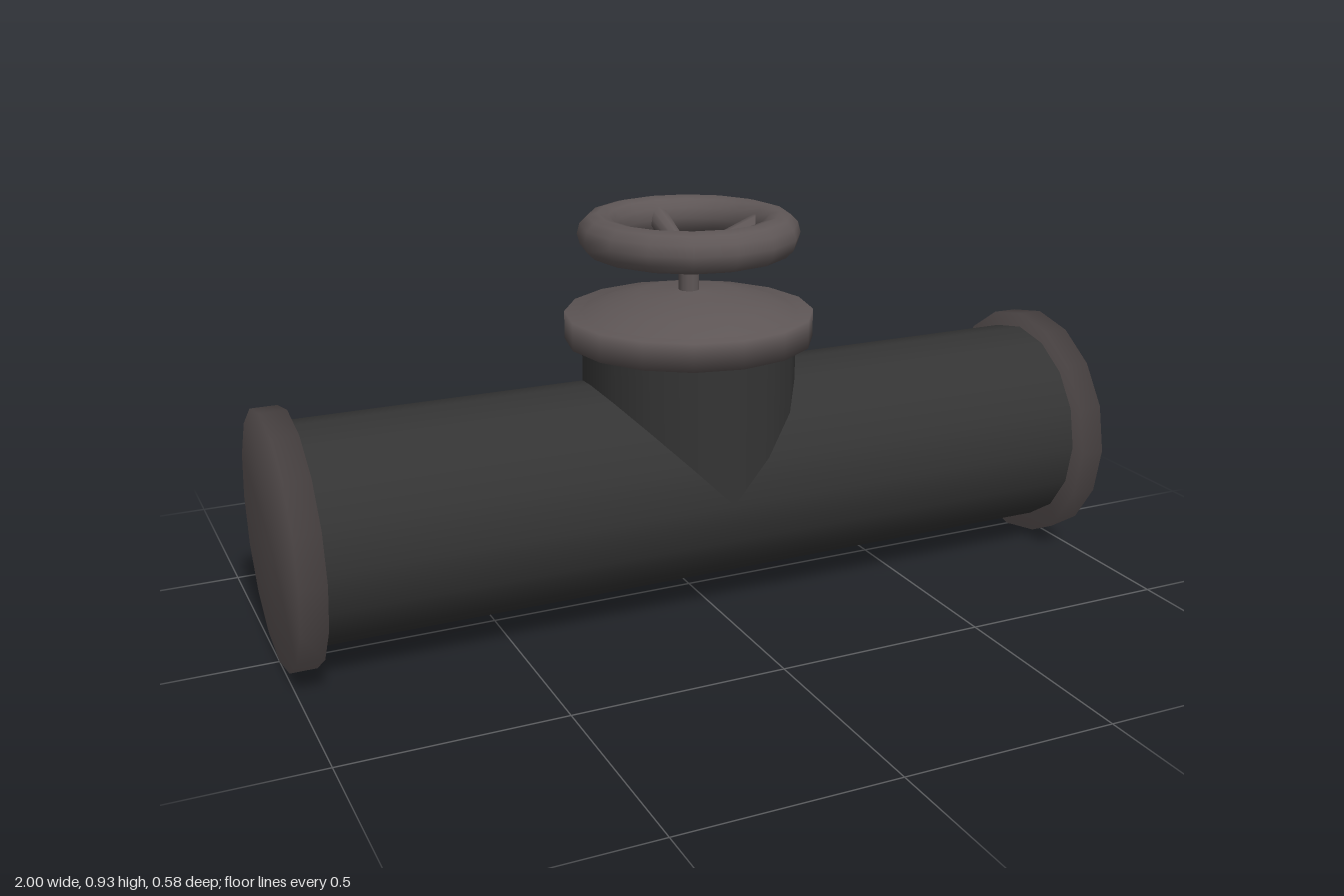
import * as THREE from 'three';
import { mergeVertices } from 'three/addons/utils/BufferGeometryUtils.js';

const SIDES = 16;
const AXIS_Y = 0.29;

// Shares corner vertices so shading rolls softly over the edges
function softened(geometry) {
  geometry.deleteAttribute('normal');
  geometry.deleteAttribute('uv');
  const merged = mergeVertices(geometry, 1e-4);
  merged.computeVertexNormals();
  return merged;
}

export function createModel() {
  const group = new THREE.Group();
  const pipeMaterial = new THREE.MeshStandardMaterial({ color: 0x343434 });
  pipeMaterial.name = 'dark pipe';
  const ironMaterial = new THREE.MeshStandardMaterial({ color: 0x5e5656 });
  ironMaterial.name = 'warm grey iron';

  function add(name, geometry, material, x = 0, y = 0, z = 0) {
    const mesh = new THREE.Mesh(geometry, material);
    mesh.name = name;
    mesh.position.set(x, y, z);
    group.add(mesh);
    return mesh;
  }

  // Main pipe along x and the riser that branches upward
  add('mainPipe', new THREE.CylinderGeometry(0.25, 0.25, 1.9, SIDES, 1, true).rotateZ(Math.PI / 2),
    pipeMaterial, 0, AXIS_Y + 0.005);
  add('riser', new THREE.CylinderGeometry(0.25, 0.25, 0.36, SIDES, 1, true), pipeMaterial, 0, 0.47);

  // Closed flanges at both ends
  for (const side of [-1, 1]) {
    const flange = new THREE.CylinderGeometry(0.29, 0.29, 0.06, SIDES).rotateZ(Math.PI / 2);
    add(side > 0 ? 'leftFlange' : 'rightFlange', softened(flange), ironMaterial, side * 0.97, AXIS_Y);
  }

  // Bonnet: flange with a shallow dome
  add('bonnetFlange', softened(new THREE.CylinderGeometry(0.29, 0.29, 0.065, SIDES)), ironMaterial, 0, 0.6625);
  const dome = [[0.262, 0.692], [0.2, 0.716], [0.115, 0.737], [0, 0.747]]
    .map(([r, y]) => new THREE.Vector2(r, y));
  add('bonnetDome', new THREE.LatheGeometry(dome, SIDES), ironMaterial);

  // Stem and handwheel rim
  add('stem', new THREE.CylinderGeometry(0.024, 0.024, 0.1, 12), ironMaterial, 0, 0.785);
  add('handwheelRim', new THREE.TorusGeometry(0.209, 0.048, 12, SIDES).rotateX(Math.PI / 2),
    ironMaterial, 0, 0.878);

  // Four tapered spokes rising from the stem to the rim
  const start = new THREE.Vector3(0, 0.822, 0);
  for (let i = 0; i < 4; i++) {
    const angle = i * Math.PI / 2;
    const end = new THREE.Vector3(0.19 * Math.cos(angle), 0.884, 0.19 * Math.sin(angle));
    const direction = end.clone().sub(start);
    const spoke = add('spoke' + (i + 1),
      new THREE.CylinderGeometry(0.028, 0.015, direction.length(), 10), ironMaterial);
    spoke.position.copy(start).add(end).multiplyScalar(0.5);
    spoke.quaternion.setFromUnitVectors(new THREE.Vector3(0, 1, 0), direction.normalize());
  }

  return group;
}
